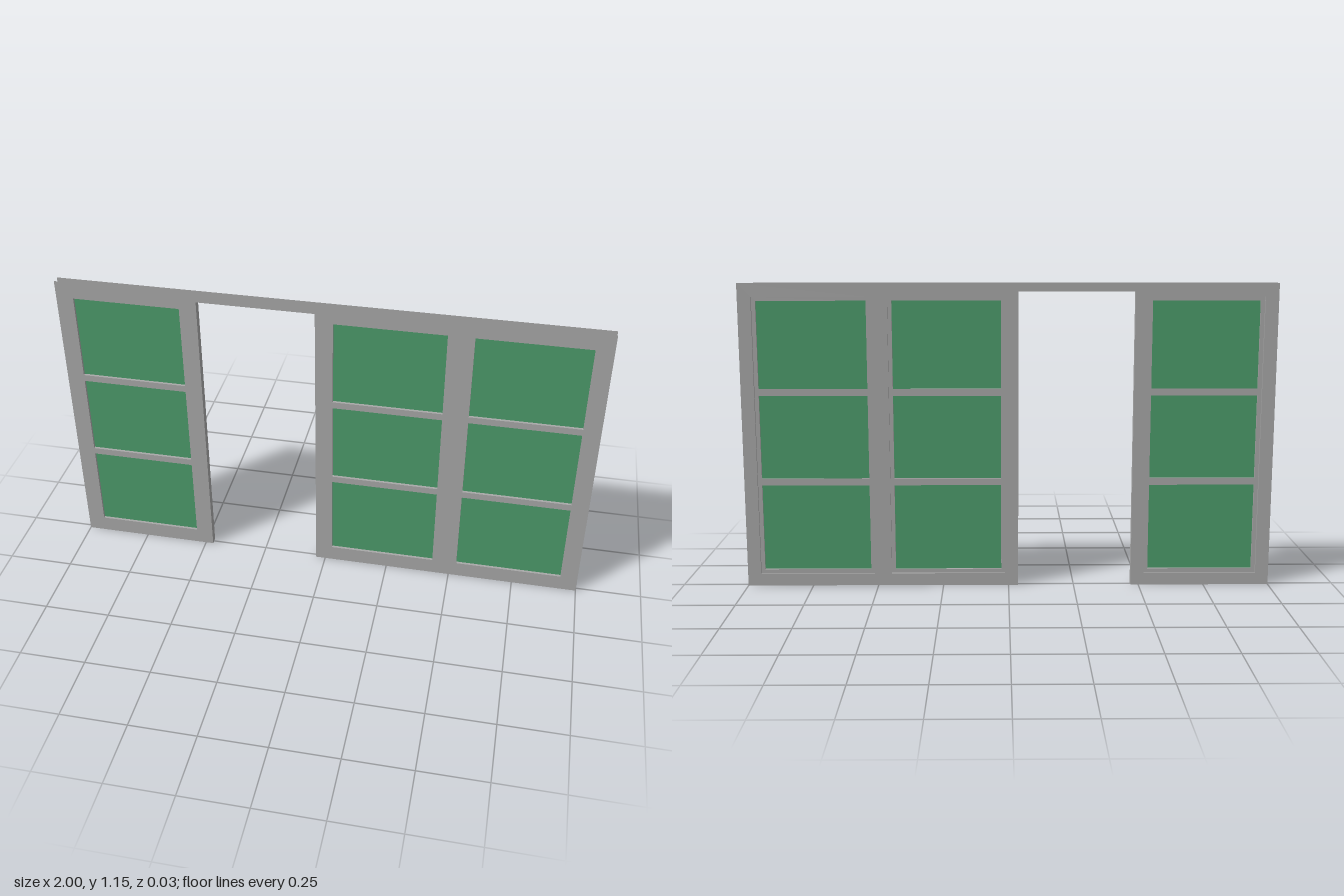
import * as THREE from 'three';

export function createModel() {
  const model = new THREE.Group();
  model.name = 'slidingDoorWall';
  const frameMat = new THREE.MeshStandardMaterial({ color: 0xa8a8a8, side: THREE.DoubleSide });
  frameMat.name = 'grey frame';
  const glassMat = new THREE.MeshStandardMaterial({ color: 0x4c9c6b });
  glassMat.name = 'green glass';

  const H = 1.155, HEAD = 1.124, Z = 0.0145, STEP = -0.006;
  const DOOR = [-0.47, -0.037];
  // Window openings as seen from the front: [x0, x1, y0, y1]
  const windows = [[-0.935, -0.535], [0.028, 0.433], [0.528, 0.935]]
    .map(([a, b]) => [a, b, 0.062, 1.09]);
  const grow = ([a, b, c, d], m) => [a - m, b + m, c - m, d + m];

  const add = (name, geo, mat, x = 0, y = 0, z = 0, parent = model) => {
    const mesh = new THREE.Mesh(geo, mat);
    mesh.name = name;
    mesh.position.set(x, y, z);
    parent.add(mesh);
    return mesh;
  };
  const loop = (Type, pts) => new Type(pts.map(p => new THREE.Vector2(...p)));
  const rect = (Type, [a, b, c, d]) => loop(Type, [[a, c], [b, c], [b, d], [a, d]]);

  // Walls running through the depth of the frame
  const level = (name, x0, x1, y, z0, z1, up = true, parent = model) =>
    add(name, new THREE.PlaneGeometry(x1 - x0, z1 - z0).rotateX(up ? -Math.PI / 2 : Math.PI / 2),
      frameMat, (x0 + x1) / 2, y, (z0 + z1) / 2, parent);
  const upright = (name, x, y0, y1, z0, z1, plusX = true, parent = model) =>
    add(name, new THREE.PlaneGeometry(z1 - z0, y1 - y0).rotateY(plusX ? Math.PI / 2 : -Math.PI / 2),
      frameMat, x, (y0 + y1) / 2, (z0 + z1) / 2, parent);
  const reveal = ([a, b, c, d], z0, z1, parent) => {
    level('revealSill', a, b, c, z0, z1, true, parent);
    level('revealHead', a, b, d, z0, z1, false, parent);
    upright('revealSide', a, c, d, z0, z1, true, parent);
    upright('revealSide', b, c, d, z0, z1, false, parent);
  };

  // Front and back faces, with the doorway cut out and the outer rim left open
  const face = margin => {
    const s = loop(THREE.Shape, [[-1, 0], [DOOR[0], 0], [DOOR[0], HEAD], [DOOR[1], HEAD],
      [DOOR[1], 0], [1, 0], [1, H], [-1, H]]);
    s.holes = windows.map(w => rect(THREE.Path, grow(w, margin)));
    return new THREE.ShapeGeometry(s);
  };
  add('frontFace', face(0), frameMat, 0, 0, Z);
  add('backFace', face(0.015).rotateY(Math.PI).scale(-1, 1, 1).scale(1, 1, -1), frameMat, 0, 0, -Z);
  // keep the back face turned outward
  const back = model.getObjectByName('backFace').geometry;
  const idx = back.index.array;
  for (let i = 0; i < idx.length; i += 3) [idx[i], idx[i + 1]] = [idx[i + 1], idx[i]];
  back.computeVertexNormals();

  // Doorway jambs and the inner walls joining the two faces
  upright('doorJamb', DOOR[0], 0, HEAD, -Z, Z, true);
  upright('doorJamb', DOOR[1], 0, HEAD, -Z, Z, false);
  level('doorHead', DOOR[0], DOOR[1], HEAD, -Z, Z, false);
  for (const [a, b] of [[-0.966, DOOR[0]], [DOOR[1], 0.966]]) {
    level('innerTop', a, b, HEAD, -Z, Z, true);
    level('innerBottom', a, b, 0.035, -Z, Z, false);
  }
  for (const s of [-1, 1]) upright('innerSide', s * 0.966, 0.035, HEAD, -Z, Z, s > 0);

  // Windows: stepped reveal, ledge, two crossbars and the glass
  for (const w of windows) {
    const g = new THREE.Group();
    g.name = 'window';
    model.add(g);
    const [a, b, c, d] = w, outer = grow(w, 0.015);
    reveal(w, STEP, Z, g);
    reveal(outer, -Z, STEP, g);
    const ledge = rect(THREE.Shape, outer);
    ledge.holes.push(rect(THREE.Path, w));
    const ring = add('ledge', new THREE.ShapeGeometry(ledge), frameMat, 0, 0, STEP, g);
    const ri = ring.geometry.index.array;
    for (let i = 0; i < ri.length; i += 3) [ri[i], ri[i + 1]] = [ri[i + 1], ri[i]];
    ring.geometry.computeVertexNormals();
    for (const y of [0.405, 0.748])
      add('crossbar', new THREE.BoxGeometry(b - a, 0.026, Z - STEP), frameMat,
        (a + b) / 2, y, (Z + STEP) / 2, g);
    add('glass', new THREE.BoxGeometry(b - a, d - c, 0.003), glassMat,
      (a + b) / 2, (c + d) / 2, 0.003, g);
  }
  return model;
}
